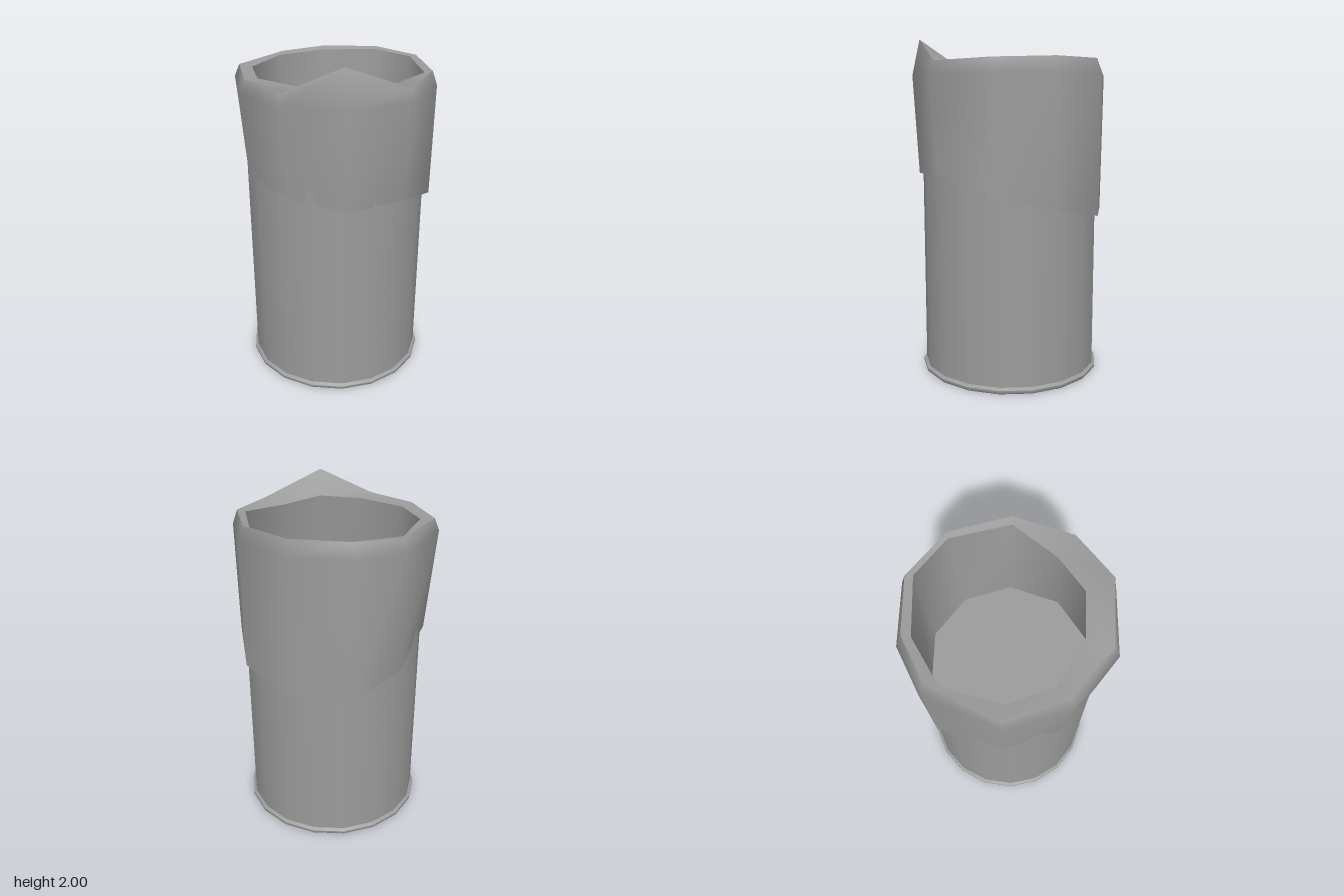
import * as THREE from 'three';
import { toCreasedNormals } from 'three/addons/utils/BufferGeometryUtils.js';

const SIDES = 18;

export function createModel() {
  const model = new THREE.Group();
  const material = new THREE.MeshStandardMaterial({ color: 0x9b9b9b, side: THREE.DoubleSide });
  const add = (parent, name, geometry) => {
    const mesh = new THREE.Mesh(geometry, material);
    mesh.name = name;
    parent.add(mesh);
  };

  // Hollow can, open underneath, with a corner on each side
  const can = new THREE.Group();
  can.name = 'can';
  can.position.set(-0.006, 0, -0.01);
  can.rotation.y = Math.PI / 2;
  model.add(can);
  const wall = new THREE.CylinderGeometry(0.529, 0.529, 1.43, SIDES, 1, true);
  wall.translate(0, 0.735, 0);
  add(can, 'canWall', wall);
  const lid = new THREE.CircleGeometry(0.528, SIDES);
  lid.rotateX(-Math.PI / 2);
  lid.rotateY(Math.PI / 2);
  lid.translate(0, 1.2, 0);
  add(can, 'canLid', lid);

  // Rolled foot rim
  const rim = [[0.523, 0.005], [0.536, 0], [0.546, 0.01], [0.546, 0.024], [0.529, 0.036]]
    .map(([r, y]) => new THREE.Vector2(r, y));
  add(can, 'footRim', toCreasedNormals(new THREE.LatheGeometry(rim, SIDES), 0.9));

  // Cloth cuff: ten folds, from the front round by +x.
  // Each entry: widest x, z; top edge x, y, z; inner lip x, y, z; hem radius, height
  const folds = [
    [0.17, 0.565, 0.165, 1.86, 0.53, 0.12, 1.855, 0.385, 0.536, 1.27],
    [0.46, 0.34, 0.41, 2.0, 0.33, 0.325, 1.865, 0.235, 0.54, 1.21],
    [0.59, 0.0, 0.56, 1.86, 0.0, 0.405, 1.84, 0.0, 0.55, 1.225],
    [0.46, -0.35, 0.44, 1.87, -0.33, 0.405, 1.86, -0.30, 0.57, 1.13],
    [0.17, -0.555, 0.15, 1.88, -0.535, 0.125, 1.87, -0.51, 0.58, 1.05],
    [-0.19, -0.565, -0.18, 1.88, -0.54, -0.15, 1.87, -0.51, 0.59, 0.98],
    [-0.48, -0.35, -0.44, 1.875, -0.34, -0.41, 1.86, -0.30, 0.585, 0.98],
    [-0.594, -0.09, -0.56, 1.86, -0.09, -0.52, 1.85, -0.03, 0.585, 1.10],
    [-0.49, 0.34, -0.47, 1.86, 0.32, -0.40, 1.85, 0.28, 0.545, 1.20],
    [-0.19, 0.545, -0.175, 1.86, 0.505, -0.17, 1.85, 0.42, 0.536, 1.27],
  ];
  const fit = (x, y, z, r) => { // same direction, given radius
    const k = r / Math.hypot(x, z);
    return [x * k, y, z * k];
  };
  const rings = folds.map(([ox, oz, tx, ty, tz, ix, iy, iz, hemR, hemY]) => [
    fit(ox, hemY + 0.02, oz, 0.49), fit(ox, hemY, oz, hemR), [ox, 1.79, oz],
    [tx, ty, tz], [ix, iy, iz], fit(ox, 1.19, oz, 0.475),
  ]);

  // Smooth band of cloth between two rows of the rings
  const band = (first, last) => {
    const n = rings.length, positions = [], index = [];
    for (let r = first; r <= last; r++) {
      for (let i = 0; i < n; i++) {
        positions.push(...rings[i][r]);
        if (r === last) continue;
        const a = (r - first) * n + i, b = (r - first) * n + (i + 1) % n;
        index.push(a, b, b + n, a, b + n, a + n);
      }
    }
    const geometry = new THREE.BufferGeometry();
    geometry.setAttribute('position', new THREE.Float32BufferAttribute(positions, 3));
    geometry.setIndex(index);
    geometry.computeVertexNormals();
    return geometry;
  };
  const cuff = new THREE.Group();
  cuff.name = 'clothCuff';
  model.add(cuff);
  add(cuff, 'cuffHem', band(0, 1));
  add(cuff, 'cuffOutside', band(1, 3));
  add(cuff, 'cuffLip', band(3, 4));
  add(cuff, 'cuffInside', band(4, 5));

  return model;
}
